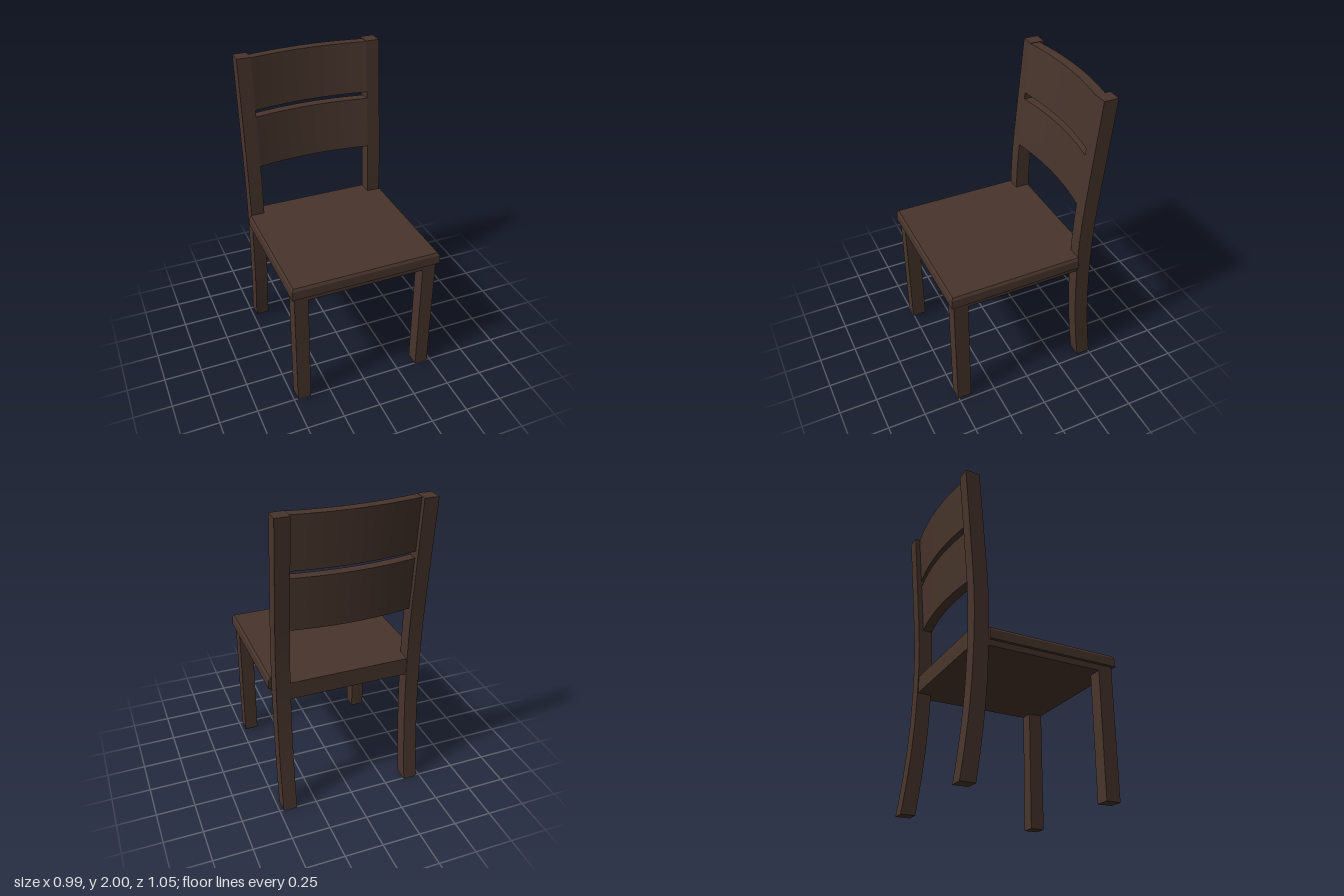
import * as THREE from 'three';

// Front-face depth of the curved back posts, as [height, z]
const CURVE = [
  [0, -0.413], [0.2, -0.386], [0.4, -0.366], [0.6, -0.353], [0.8, -0.347], [1.0, -0.347],
  [1.15, -0.352], [1.3, -0.363], [1.65, -0.394], [2.0, -0.426],
];
function postZ(y) {
  let i = 0;
  while (i < CURVE.length - 2 && y > CURVE[i + 1][0]) i++;
  const [y0, z0] = CURVE[i], [y1, z1] = CURVE[i + 1];
  return z0 + (z1 - z0) * (y - y0) / (y1 - y0);
}

// Box whose depth follows the posts, with an optional sideways bow
function bentBox(width, y0, y1, depth, segX, segY, bow) {
  const g = new THREE.BoxGeometry(width, y1 - y0, depth, segX, segY, 1);
  g.translate(0, (y0 + y1) / 2, -depth / 2);
  const p = g.attributes.position;
  for (let i = 0; i < p.count; i++) {
    const t = p.getX(i) / (width / 2);
    p.setZ(i, p.getZ(i) + postZ(p.getY(i)) - bow * (1 - t * t));
  }
  g.computeVertexNormals();
  return g;
}

// Seat outline with a tongue that reaches back between the posts
function seatPlate(halfWidth, front, y0, y1, steps) {
  const outline = [
    [-halfWidth, -front], [halfWidth, -front], [halfWidth, 0.345], [0.386, 0.345],
    [0.386, 0.437], [-0.386, 0.437], [-0.386, 0.345], [-halfWidth, 0.345],
  ].map(([x, y]) => new THREE.Vector2(x, y));
  const g = new THREE.ExtrudeGeometry(new THREE.Shape(outline), { depth: y1 - y0, steps, bevelEnabled: false });
  g.rotateX(-Math.PI / 2);
  g.translate(0, y0, 0);
  return g;
}

export function createModel() {
  const model = new THREE.Group();
  model.name = 'chair';
  const wood = new THREE.MeshStandardMaterial({ color: 0x48352c });
  wood.name = 'dark wood';
  const add = (name, geometry, x = 0, y = 0, z = 0) => {
    const mesh = new THREE.Mesh(geometry, wood);
    mesh.name = name;
    mesh.position.set(x, y, z);
    model.add(mesh);
  };

  // Legs: straight in front, curved posts behind
  for (const [side, s] of [['left', 1], ['right', -1]]) {
    add(side + 'FrontLeg', new THREE.BoxGeometry(0.09, 0.82, 0.095), s * 0.43, 0.41, 0.4575);
    add(side + 'BackPost', bentBox(0.09, 0, 2, 0.095, 1, 24, 0), s * 0.43);
  }

  // Seat slab with a chamfered upper edge
  const slab = seatPlate(0.494, 0.524, 0.85, 0.925, 2);
  const p = slab.attributes.position;
  for (let i = 0; i < p.count; i++) {
    const x = p.getX(i), y = p.getY(i), z = p.getZ(i);
    const inset = y > 0.92 ? 0.014 : y > 0.86 ? 0.003 : 0;
    if (y > 0.86 && y < 0.92) p.setY(i, 0.908);
    if (Math.abs(x) > 0.45) p.setX(i, x - Math.sign(x) * inset);
    if (z > 0.5) p.setZ(i, z - inset);
  }
  slab.computeVertexNormals();
  add('seat', slab);
  add('apron', seatPlate(0.475, 0.505, 0.81, 0.85, 1));

  // Bowed back slats
  add('upperSlat', bentBox(0.77, 1.662, 1.997, 0.063, 20, 4, 0.037));
  add('lowerSlat', bentBox(0.77, 1.276, 1.618, 0.063, 20, 4, 0.037));
  return model;
}
